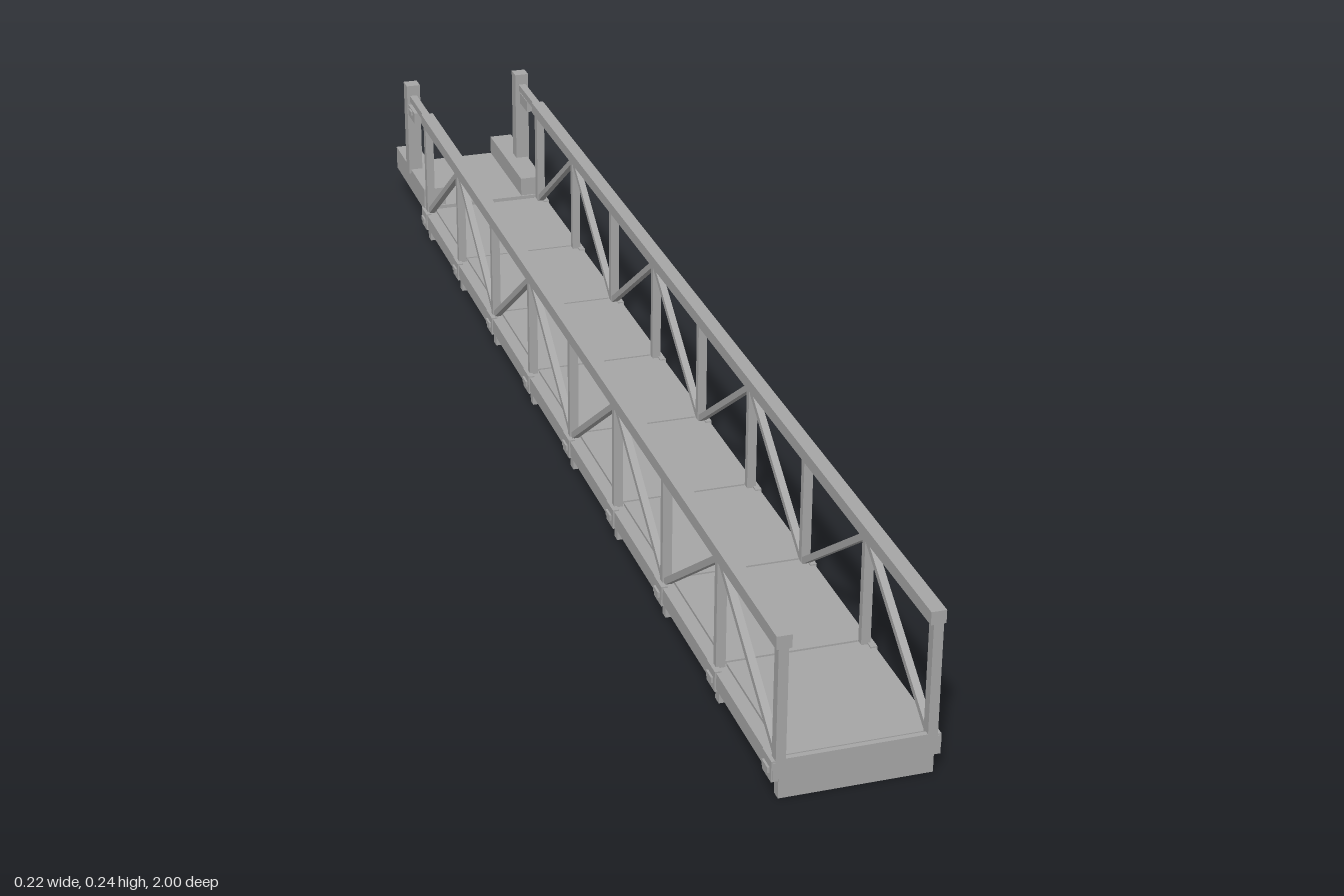
import * as THREE from 'three';

const steel = new THREE.MeshStandardMaterial({ color: 0xa6a6a6 });
steel.name = 'galvanised steel';

export function createModel() {
  const bridge = new THREE.Group();
  bridge.name = 'trussFootbridge';

  // Box given by its minimum and maximum along each axis
  function box(parent, name, x0, x1, y0, y1, z0, z1) {
    const mesh = new THREE.Mesh(new THREE.BoxGeometry(Math.abs(x1 - x0), y1 - y0, z1 - z0), steel);
    mesh.position.set((x0 + x1) / 2, (y0 + y1) / 2, (z0 + z1) / 2);
    mesh.name = name;
    parent.add(mesh);
  }

  // Square bar running between two points
  function bar(parent, name, a, b, w, h) {
    const from = new THREE.Vector3(...a), to = new THREE.Vector3(...b);
    const mesh = new THREE.Mesh(new THREE.BoxGeometry(w, h, from.distanceTo(to)), steel);
    mesh.position.copy(from).add(to).multiplyScalar(0.5);
    mesh.lookAt(to);
    mesh.name = name;
    parent.add(mesh);
  }

  const panels = 8, zFront = 0.993, zBack = -0.777;
  const node = i => zFront + (zBack - zFront) * i / panels;

  // Deck plates with narrow joints, cross beams and flat bracing below
  const deck = new THREE.Group();
  deck.name = 'deck';
  bridge.add(deck);
  for (let i = 0; i <= panels; i++) {
    const z = node(i);
    box(deck, 'crossBeam', -0.1, 0.1, 0, 0.02, z - 0.007, z + 0.007);
    box(deck, 'crossBeamWeb', -0.09, 0.09, 0.02, 0.046, z - 0.005, z + 0.005);
    if (i === panels) break;
    const next = node(i + 1);
    box(deck, 'deckPlate', -0.089, 0.089, 0.046, 0.055, next + 0.002, z - 0.002);
    const s = i % 2 ? -1 : 1;
    bar(deck, 'windBrace', [-0.092 * s, 0.018, z], [0.092 * s, 0.018, next], 0.007, 0.007);
  }
  for (const x of [-0.045, 0, 0.045]) {
    box(deck, 'stringer', x - 0.008, x + 0.008, 0.024, 0.046, zBack, zFront);
  }
  box(deck, 'frontEndPlate', -0.1, 0.1, 0, 0.055, 0.993, 1);
  box(deck, 'backEndPlate', -0.1, 0.1, 0.006, 0.05, -0.787, -0.78);

  // Side trusses, mirrored left and right
  for (const s of [1, -1]) {
    const truss = new THREE.Group();
    truss.name = s > 0 ? 'leftTruss' : 'rightTruss';
    bridge.add(truss);
    box(truss, 'topRail', s * 0.087, s * 0.107, 0.208, 0.226, -0.787, 1);
    box(truss, 'bottomChord', s * 0.088, s * 0.107, 0.028, 0.051, -0.803, 1);
    for (let i = 0; i <= panels; i++) {
      const z = node(i);
      const w = i === 0 || i === panels ? 0.007 : 0.005;
      box(truss, 'upright', s * 0.091, s * 0.104, 0.05, 0.21, z - w, z + w);
      const zc = Math.min(z, 0.983);
      box(truss, 'nodePlate', s * 0.1, s * 0.109, 0.024, 0.053, zc - 0.016, zc + 0.016);
      box(truss, 'lowerBolt', s * 0.108, s * 0.112, 0.034, 0.042, zc - 0.01, zc + 0.01);
      if (i === panels) break;
      const low = 0.051, high = 0.208;
      bar(truss, 'diagonal', [s * 0.097, i % 2 ? high : low, z],
        [s * 0.097, i % 2 ? low : high, node(i + 1)], 0.01, 0.009);
    }

    // Landing post, handrail extension and its bracket
    box(truss, 'handrailExtension', s * 0.091, s * 0.103, 0.212, 0.223, -0.892, -0.787);
    box(truss, 'railBracket', s * 0.09, s * 0.109, 0.193, 0.212, -0.875, -0.83);
    box(truss, 'bracketBolt', s * 0.108, s * 0.112, 0.204, 0.21, -0.862, -0.843);
    box(truss, 'landingPost', s * 0.085, s * 0.108, 0.08, 0.241, -0.911, -0.887);
    box(truss, 'landingCurb', s * 0.067, s * 0.105, 0.055, 0.087, -1, -0.79);
  }

  // Landing slab at the back
  box(bridge, 'landingSlab', -0.105, 0.105, 0.048, 0.056, -1, -0.787);
  return bridge;
}
